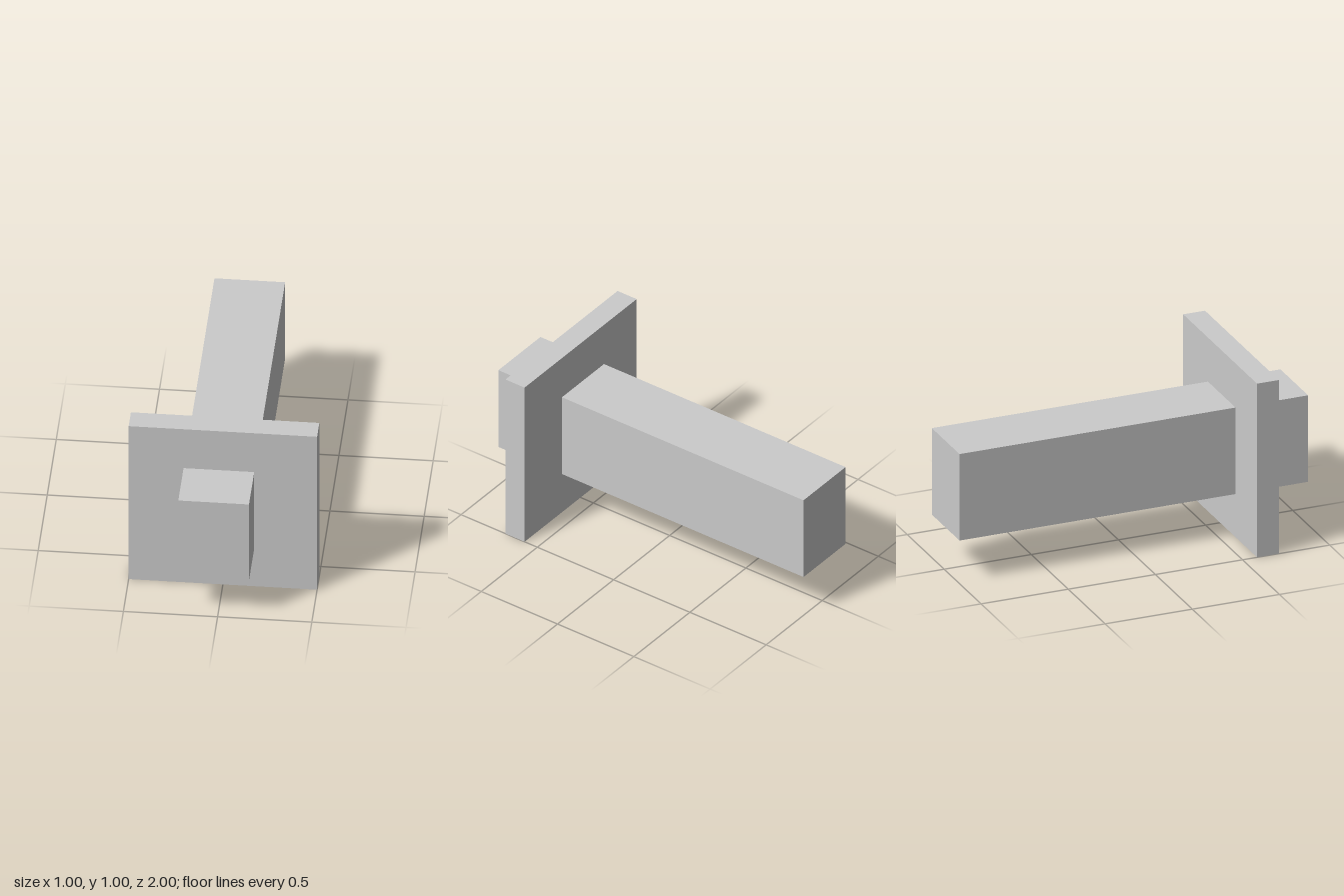
import * as THREE from 'three';

export function createModel() {
  const group = new THREE.Group();
  const material = new THREE.MeshStandardMaterial({ color: 0xcccccc, flatShading: true });

  const addBox = (name, size, position) => {
    const mesh = new THREE.Mesh(new THREE.BoxGeometry(...size), material);
    mesh.name = name;
    mesh.position.set(...position);
    group.add(mesh);
  };

  // Long bar running front to back, slightly off centre
  addBox('bar', [0.375, 0.498, 2], [-0.021, 0.497, 0]);

  // Square plate that the bar passes through near the front
  addBox('plate', [1, 1, 0.125], [0, 0.5, 0.646]);

  return group;
}
